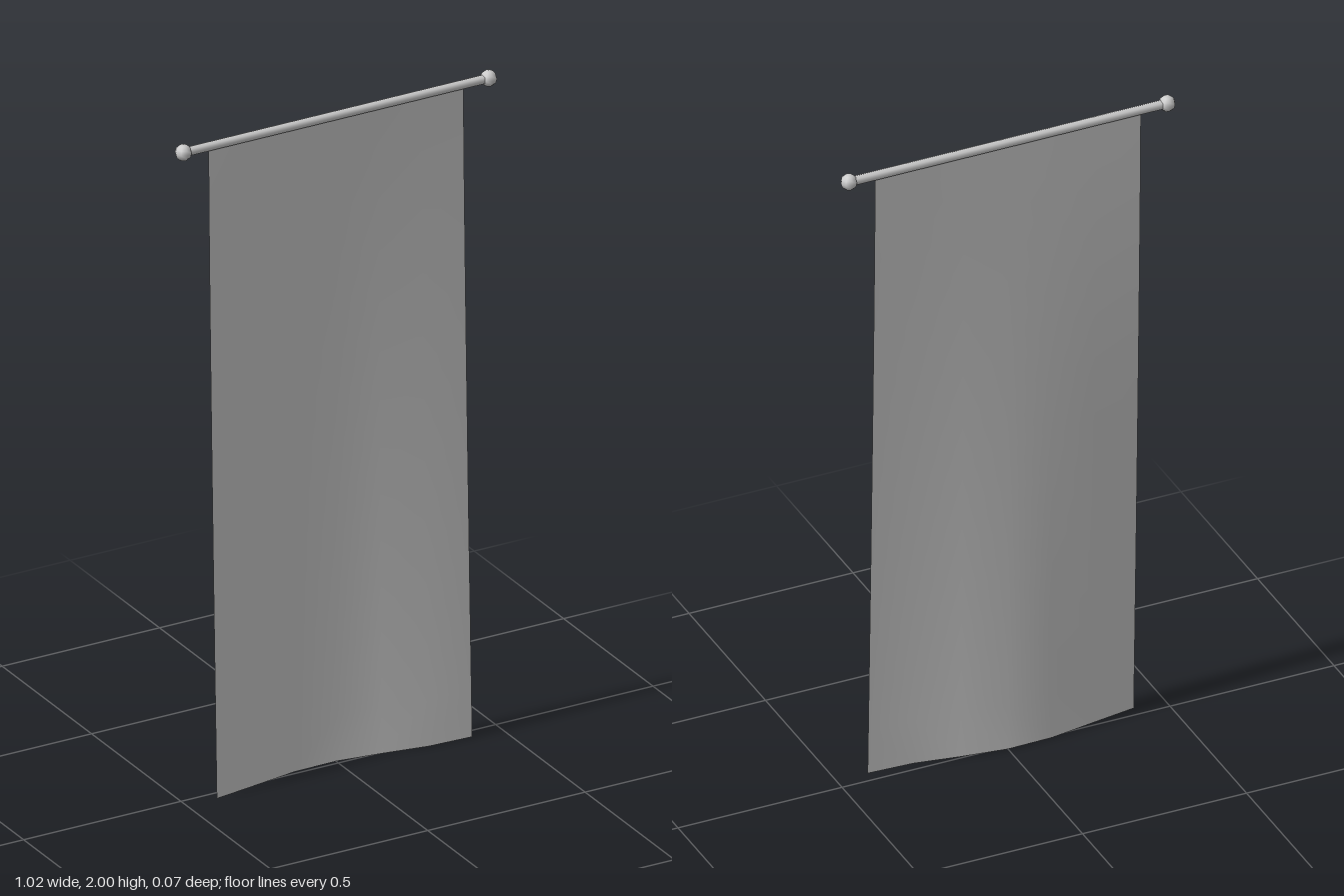
import * as THREE from 'three';

export function createModel() {
  const group = new THREE.Group();
  const metal = new THREE.MeshStandardMaterial({ color: 0xcccccc });
  const cloth = new THREE.MeshStandardMaterial({ color: 0xcccccc, side: THREE.DoubleSide });
  const rodY = 1.976, rodZ = -0.013;

  // horizontal rod
  const rod = new THREE.Mesh(new THREE.CylinderGeometry(0.0135, 0.0135, 0.97, 8), metal);
  rod.name = 'rod';
  rod.rotation.z = Math.PI / 2;
  rod.position.set(0, rodY, rodZ);
  group.add(rod);

  // ball at each end of the rod
  for (const side of [-1, 1]) {
    const ball = new THREE.Mesh(new THREE.SphereGeometry(0.024, 8, 6), metal);
    ball.name = side > 0 ? 'leftFinial' : 'rightFinial';
    ball.position.set(side * 0.485, rodY, rodZ);
    group.add(ball);
  }

  // hanging cloth: flat at the rod, with a wave that grows towards the hem
  const geometry = new THREE.PlaneGeometry(0.81, rodY, 6, 14);
  geometry.translate(0, rodY / 2, 0);
  const p = geometry.attributes.position;
  for (let i = 0; i < p.count; i++) {
    const drop = Math.max(0, 1 - p.getY(i) / rodY);
    const wave = 0.024 + 0.026 * Math.sin(7.4 * p.getX(i) + 5.1);
    p.setZ(i, rodZ + wave * Math.pow(drop, 1.25));
  }
  geometry.computeVertexNormals();
  const banner = new THREE.Mesh(geometry, cloth);
  banner.name = 'banner';
  group.add(banner);

  return group;
}
